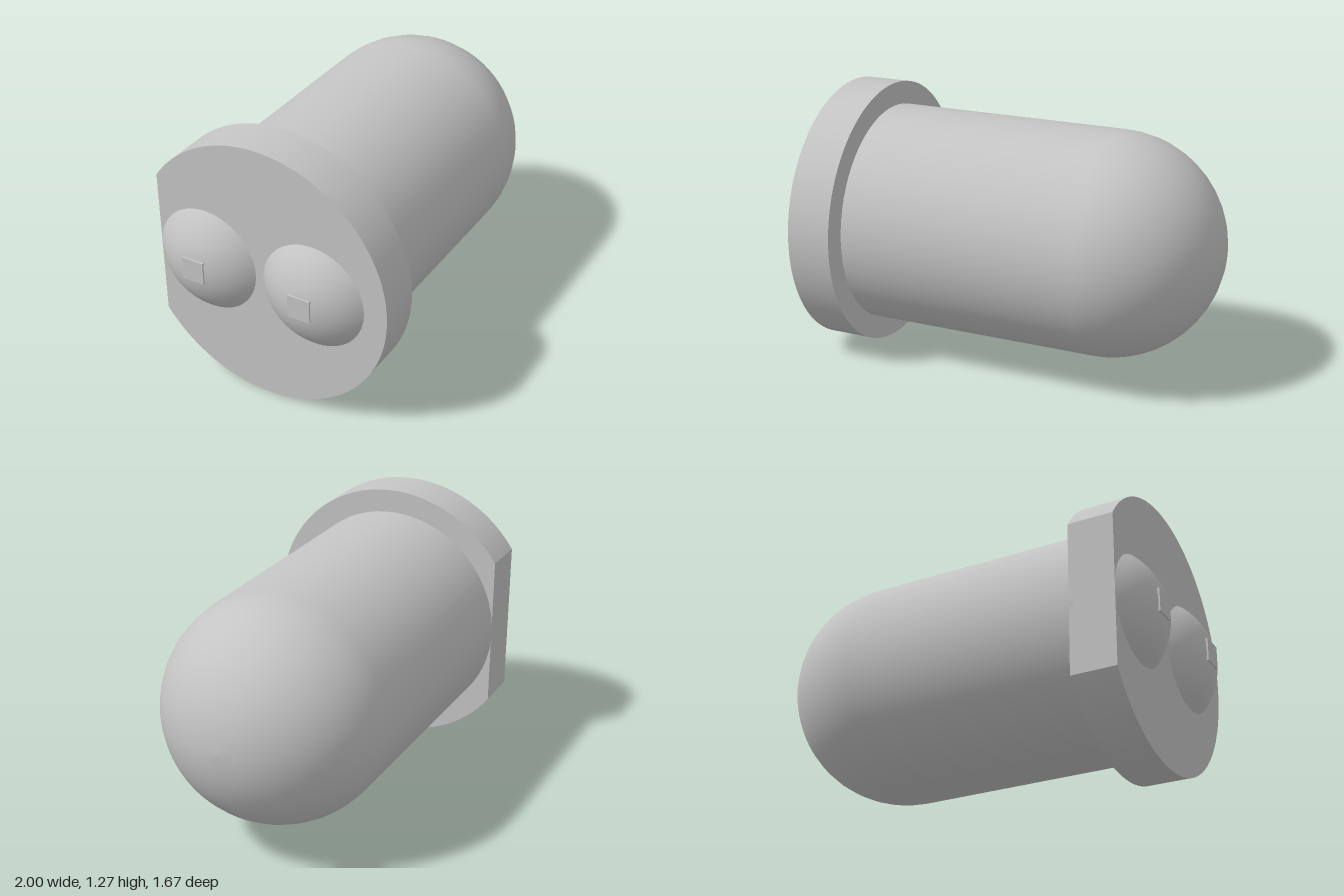
import * as THREE from 'three';
import { toCreasedNormals } from 'three/addons/utils/BufferGeometryUtils.js';

const BODY_R = 0.527, FLANGE_R = 0.637, FLANGE_T = 0.215, DOME_START = 1.351;
const BUMP_R = 0.253, BUMP_H = 0.115, BUMP_Z = 0.273;

// Points of an arc running from a0 to the pole of a sphere centred on the axis
function arcToPole(radius, centreY, a0, steps) {
  return Array.from({ length: steps + 1 }, (_, i) => {
    const a = a0 + (Math.PI / 2 - a0) * i / steps;
    return new THREE.Vector2(i === steps ? 0 : radius * Math.cos(a), centreY + radius * Math.sin(a));
  });
}

export function createModel() {
  const grey = new THREE.MeshStandardMaterial({ color: 0xc4c4c4 });
  grey.name = 'light grey';

  const model = new THREE.Group();
  model.name = 'lamp';
  // Built with its axis along local +x, base plane at x = 0
  const lamp = new THREE.Group();
  lamp.name = 'lampAssembly';
  lamp.position.set(-0.757, 0.638, 0.252);
  lamp.rotation.y = THREE.MathUtils.degToRad(24.7);
  model.add(lamp);

  const add = (name, geometry) => {
    const mesh = new THREE.Mesh(geometry, grey);
    mesh.name = name;
    lamp.add(mesh);
    return mesh;
  };

  // Cylinder with a hemispherical end
  const profile = [new THREE.Vector2(BODY_R, FLANGE_T - 0.02), ...arcToPole(BODY_R, DOME_START, 0, 12)];
  add('bodyAndDome', new THREE.LatheGeometry(profile, 64).rotateZ(-Math.PI / 2));

  // Round flange with one flat side, level with the body
  const half = Math.acos(0.525 / FLANGE_R);
  const outline = new THREE.Shape();
  outline.absarc(0, 0, FLANGE_R, half, Math.PI * 2 - half, false);
  outline.closePath();
  const flange = new THREE.ExtrudeGeometry(outline, { depth: FLANGE_T, bevelEnabled: false, curveSegments: 72 });
  add('flange', toCreasedNormals(flange.rotateY(Math.PI / 2), 0.3));

  // Two shallow domes on the base, each with a square lead end
  const R = (BUMP_R ** 2 + BUMP_H ** 2) / (2 * BUMP_H);
  const cap = arcToPole(R, BUMP_H - R, Math.acos(BUMP_R / R), 8);
  for (const [side, s] of [['left', 1], ['right', -1]]) {
    add(side + 'BaseDome', new THREE.LatheGeometry(cap, 40).rotateZ(Math.PI / 2)).position.z = s * BUMP_Z;
    add(side + 'LeadEnd', new THREE.BoxGeometry(0.04, 0.11, 0.11))
      .position.set(-BUMP_H + 0.018, 0.005, s * BUMP_Z);
  }
  return model;
}
